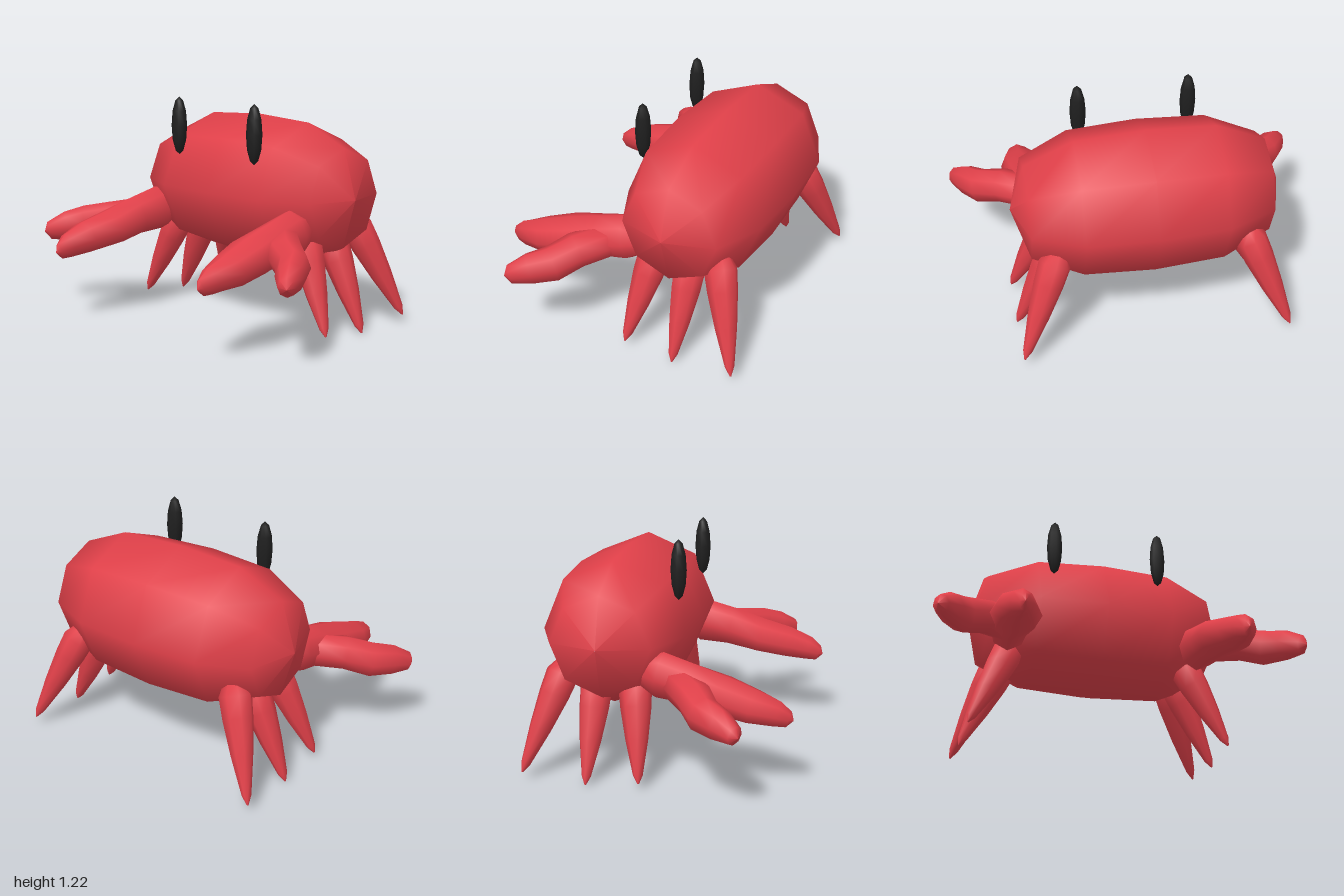
import * as THREE from 'three';

const SIDES = 8;

// Smooth limb lofted through stations [x, y, z, half width, half height]
function limb(stations, side) {
  const centres = stations.map(p => new THREE.Vector3(p[0] * side, p[1], p[2]));
  const pos = [], index = [];
  const last = centres.length - 1;
  centres.forEach((c, i) => {
    const t = centres[Math.min(i + 1, last)].clone().sub(centres[Math.max(i - 1, 0)]).normalize();
    const u = new THREE.Vector3(0, 1, 0).cross(t).normalize();
    const v = t.clone().cross(u);
    for (let k = 0; k < SIDES; k++) {
      const a = (k / SIDES) * Math.PI * 2;
      const p = c.clone()
        .addScaledVector(u, Math.cos(a) * stations[i][3])
        .addScaledVector(v, Math.sin(a) * stations[i][4]);
      pos.push(p.x, p.y, p.z);
    }
  });
  for (let i = 0; i < last; i++) {
    for (let k = 0; k < SIDES; k++) {
      const a = i * SIDES + k, b = i * SIDES + (k + 1) % SIDES;
      index.push(a, b, b + SIDES, a, b + SIDES, a + SIDES);
    }
  }
  const geo = new THREE.BufferGeometry();
  geo.setAttribute('position', new THREE.Float32BufferAttribute(pos, 3));
  geo.setIndex(index);
  geo.computeVertexNormals();
  return geo;
}

// Tapered leg between a buried root and a foot tip
function leg(root, tip, side) {
  const profile = [[0, 0.001], [0.02, 0.055], [0.12, 0.086], [0.3, 0.08], [0.6, 0.058], [0.92, 0.025], [1, 0.004]];
  return limb(profile.map(([t, r]) => [...root.map((v, i) => v + (tip[i] - v) * t), r, r]), side);
}

export function createModel() {
  const model = new THREE.Group();
  const red = new THREE.MeshStandardMaterial({ color: 0xe04049 });
  red.name = 'shellRed';
  const black = new THREE.MeshStandardMaterial({ color: 0x1f1f1f });
  black.name = 'eyeBlack';

  const add = (name, geo, mat, parent = model) => {
    const mesh = new THREE.Mesh(geo, mat);
    mesh.name = name;
    parent.add(mesh);
    return mesh;
  };

  // Barrel body, eight sided around the x axis
  const profile = [[0.001, -0.71], [0.265, -0.63], [0.38, -0.37], [0.4, 0], [0.38, 0.37], [0.265, 0.63], [0.001, 0.71]]
    .map(p => new THREE.Vector2(...p));
  const body = add('body', new THREE.LatheGeometry(profile, 8), red);
  body.rotation.z = -Math.PI / 2;
  body.position.set(0, 0.72, -0.287);

  // Arm running into the inner claw finger
  const arm = [
    [0.53, 0.58, -0.11, 0.001, 0.001], [0.53, 0.575, -0.09, 0.07, 0.08], [0.53, 0.56, 0, 0.105, 0.125],
    [0.545, 0.53, 0.16, 0.115, 0.11], [0.55, 0.485, 0.33, 0.135, 0.1],
    [0.575, 0.445, 0.49, 0.11, 0.09], [0.575, 0.415, 0.61, 0.065, 0.07],
    [0.572, 0.39, 0.67, 0.025, 0.045], [0.572, 0.385, 0.695, 0.001, 0.001],
  ];
  // Outer claw finger branching off the arm
  const finger = [
    [0.53, 0.54, 0.06, 0.001, 0.001], [0.58, 0.53, 0.11, 0.09, 0.09], [0.7, 0.505, 0.22, 0.1, 0.09],
    [0.82, 0.47, 0.29, 0.088, 0.098], [0.89, 0.45, 0.385, 0.074, 0.085],
    [0.95, 0.425, 0.468, 0.046, 0.052], [0.968, 0.42, 0.488, 0.001, 0.001],
  ];
  // Leg root and tip pairs, front to back
  const legs = [
    ['frontLeg', [0.48, 0.53, -0.145], [0.715, 0.03, -0.07]],
    ['middleLeg', [0.48, 0.52, -0.343], [0.717, 0, -0.35]],
    ['backLeg', [0.49, 0.59, -0.5], [0.717, 0.04, -0.69]],
  ];

  for (const [label, s] of [['left', 1], ['right', -1]]) {
    const claw = new THREE.Group();
    claw.name = label + 'Claw';
    model.add(claw);
    add(label + 'Arm', limb(arm, s), red, claw);
    add(label + 'OuterFinger', limb(finger, s), red, claw);

    for (const [name, root, tip] of legs) add(label + '-' + name, leg(root, tip, s), red);

    // Tall spindle eyes
    const eye = add(label + 'Eye', new THREE.SphereGeometry(1, 8, 6), black);
    eye.scale.set(0.043, 0.16, 0.043);
    eye.position.set(0.295 * s, 1.055, 0.043);
  }
  return model;
}
